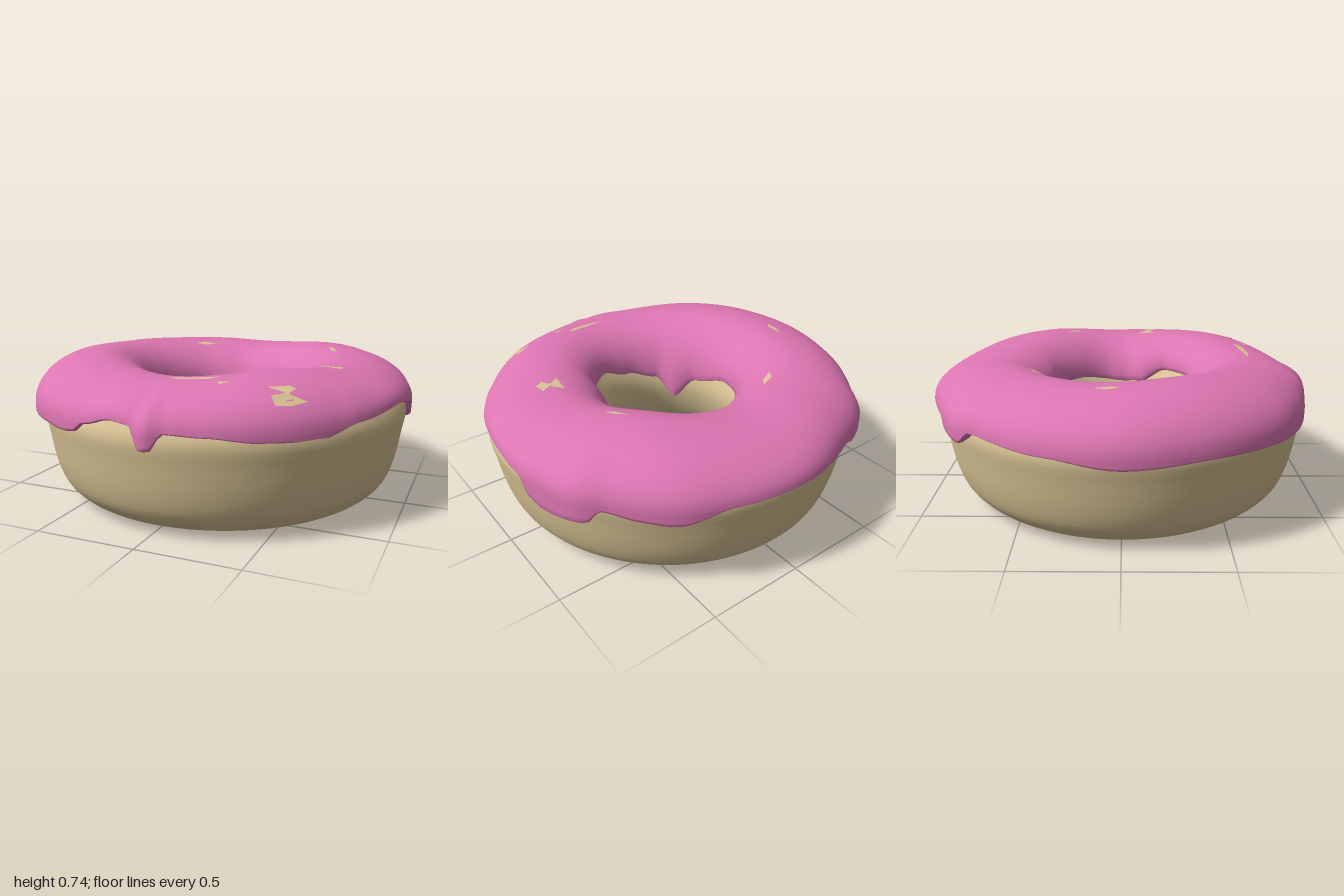
import * as THREE from 'three';

const SEGMENTS = 240;
const RIDGE = 0.64; // radius of the crest of the ring

// Smooth periodic lookup through [degrees, value] pairs
function around(pairs) {
  return (a) => {
    const d = (((a * 180) / Math.PI) % 360 + 360) % 360;
    for (let i = 0; i < pairs.length; i++) {
      const [d0, v0] = pairs[i];
      const last = i === pairs.length - 1;
      const d1 = last ? pairs[0][0] + 360 : pairs[i + 1][0];
      const v1 = last ? pairs[0][1] : pairs[i + 1][1];
      const x = d < pairs[0][0] ? d + 360 : d;
      if (x >= d0 && x <= d1) return THREE.MathUtils.lerp(v0, v1, THREE.MathUtils.smoothstep(x, d0, d1));
    }
    return pairs[0][1];
  };
}

// Angles run from +x (0) through the front, +z (90)
const crest = around([[0, 0.69], [45, 0.72], [90, 0.69], [157, 0.74], [200, 0.72], [245, 0.705], [270, 0.69], [318, 0.725]]);
const outerRadius = around([[0, 0.985], [45, 0.96], [76, 0.955], [82, 0.96], [87, 0.992], [92, 0.958], [100, 0.955],
  [115, 0.968], [130, 0.985], [160, 0.978], [180, 0.99], [200, 0.977], [221, 0.968], [230, 0.995], [247, 0.972],
  [270, 1], [290, 1], [305, 1.015], [322, 0.995], [331, 1.02], [345, 1.0]]);
const outerEdge = around([[10, 0.55], [28, 0.52], [43, 0.465], [58, 0.475], [72, 0.5], [83, 0.51], [85.5, 0.44],
  [88.5, 0.435], [92, 0.535], [98, 0.545], [107, 0.51], [112, 0.46], [117, 0.45], [127, 0.465], [155, 0.475],
  [180, 0.46], [200, 0.49], [225, 0.51], [229, 0.45], [240, 0.46], [247, 0.5], [270, 0.51], [290, 0.5], [305, 0.44],
  [314, 0.45], [324, 0.47], [328, 0.4], [342, 0.385], [346, 0.41], [350, 0.5]]);
const innerRadius = around([[0, 0.365], [18, 0.345], [38, 0.4], [60, 0.4], [85, 0.37], [112, 0.35], [131, 0.3],
  [152, 0.34], [180, 0.35], [225, 0.35], [250, 0.34], [276, 0.36], [300, 0.375], [320, 0.37], [345, 0.375]]);
const innerEdge = around([[0, 0.46], [18, 0.47], [38, 0.54], [60, 0.54], [85, 0.48], [112, 0.43], [131, 0.32],
  [152, 0.42], [190, 0.48], [225, 0.5], [255, 0.46], [290, 0.5], [320, 0.5]]);
const shoulder = (a) => Math.max(outerEdge(a), 0.5) + 0.005;

// Height of the icing above a point of the ring
function icingHeight(a, r) {
  const outside = r > RIDGE;
  const rim = outside ? outerRadius(a) : innerRadius(a);
  const low = outside ? shoulder(a) : innerEdge(a);
  const c = Math.min(1, (r - RIDGE) / (rim - RIDGE));
  return low + (crest(a) - low) * Math.sqrt(1 - c * c);
}

// Closed section [r, y] swept around the y axis
function ring(section) {
  const pos = [], index = [];
  let n = 0;
  for (let i = 0; i < SEGMENTS; i++) {
    const a = (i / SEGMENTS) * Math.PI * 2;
    const pts = section(a);
    n = pts.length;
    for (const [r, y] of pts) pos.push(r * Math.cos(a), y, r * Math.sin(a));
  }
  for (let i = 0; i < SEGMENTS; i++) {
    for (let j = 0; j < n; j++) {
      const i2 = ((i + 1) % SEGMENTS) * n, j2 = (j + 1) % n;
      const p = i * n + j, q = i * n + j2, s = i2 + j, t = i2 + j2;
      index.push(p, q, s, q, t, s);
    }
  }
  const g = new THREE.BufferGeometry();
  g.setAttribute('position', new THREE.Float32BufferAttribute(pos, 3));
  g.setIndex(index);
  g.computeVertexNormals();
  return g;
}

function icingSection(a) {
  const ro = outerRadius(a), ho = outerEdge(a), hs = shoulder(a);
  const ri = innerRadius(a), hi = innerEdge(a);
  const pts = [[ro - 0.08, ho + 0.02], [ro - 0.012, ho - 0.002]];
  for (let k = 0; k < 4; k++) pts.push([ro, ho + 0.004 + ((hs - ho) * k) / 4]);
  for (let k = 0; k <= 28; k++) {
    const c = Math.cos((k / 28) * Math.PI);
    const r = RIDGE + c * (c > 0 ? ro - RIDGE : RIDGE - ri);
    pts.push([r, icingHeight(a, r)]);
  }
  pts.push([ri + 0.012, hi - 0.008], [ri + 0.08, hi + 0.01]);
  return pts;
}

// Dough section: up the outside, over the top, down the hole
const doughCurve = new THREE.CatmullRomCurve3([
  [0.7, 0.002], [0.79, 0.03], [0.865, 0.1], [0.905, 0.2], [0.935, 0.36], [0.948, 0.48], [0.87, 0.585], [0.78, 0.625],
  [0.64, 0.645], [0.51, 0.61], [0.42, 0.52], [0.37, 0.44], [0.352, 0.35], [0.375, 0.23], [0.425, 0.12], [0.5, 0.04], [0.59, 0.002],
].map(([r, y]) => new THREE.Vector3(r, y, 0)), true);
const doughPoints = doughCurve.getPoints(56).slice(0, -1);

function doughSection(a) {
  const lift = crest(a) - 0.69;
  const shift = 0.018 * Math.cos(a);
  return doughPoints.map((p) => [
    p.x + shift * THREE.MathUtils.smoothstep(p.x, 0.6, 0.9),
    Math.max(0, p.y) + lift * THREE.MathUtils.smoothstep(p.y, 0.5, 0.645),
  ]);
}

// Thin bare spots in the icing, as outlines in [x, z]
const SPOTS = [
  [[-0.34, -0.39], [-0.31, -0.44], [-0.23, -0.465], [-0.27, -0.42]],
  [[-0.7, -0.06], [-0.675, -0.13], [-0.67, -0.04], [-0.69, -0.01]],
  [[0.5, -0.34], [0.54, -0.3], [0.56, -0.24], [0.52, -0.28]],
  [[0.57, 0.19], [0.58, 0.09], [0.64, 0.15]],
  [[0.62, 0.15], [0.68, 0.12], [0.69, 0.18], [0.65, 0.2]],
  [[0.01, 0.67], [0.13, 0.65], [0.25, 0.625], [0.2, 0.67], [0.08, 0.685]],
  [[0.26, 0.69], [0.32, 0.675], [0.28, 0.71]],
  [[0.48, 0.66], [0.56, 0.6], [0.59, 0.6], [0.57, 0.65]],
  [[0.51, 0.7], [0.56, 0.65], [0.65, 0.63], [0.6, 0.69], [0.54, 0.73]],
];

function spotGeometry(outline) {
  const g = new THREE.ShapeGeometry(new THREE.Shape(outline.map(([x, z]) => new THREE.Vector2(x, -z))));
  g.rotateX(-Math.PI / 2);
  const p = g.attributes.position;
  for (let i = 0; i < p.count; i++) {
    const x = p.getX(i), z = p.getZ(i);
    p.setY(i, icingHeight(Math.atan2(z, x), Math.hypot(x, z)) + 0.004);
  }
  g.computeVertexNormals();
  return g;
}

export function createModel() {
  const group = new THREE.Group();
  group.name = 'doughnut';
  const doughMaterial = new THREE.MeshStandardMaterial({ color: 0xd8c394 });
  const icingMaterial = new THREE.MeshStandardMaterial({ color: 0xdd76b2 });
  const spotMaterial = new THREE.MeshStandardMaterial({ color: 0xd8c394, side: THREE.DoubleSide });
  const add = (name, geometry, material) => {
    const mesh = new THREE.Mesh(geometry, material);
    mesh.name = name;
    group.add(mesh);
  };
  add('dough', ring(doughSection), doughMaterial);
  add('icing', ring(icingSection), icingMaterial);
  SPOTS.forEach((s, i) => add(`bareSpot${i + 1}`, spotGeometry(s), spotMaterial));
  return group;
}
